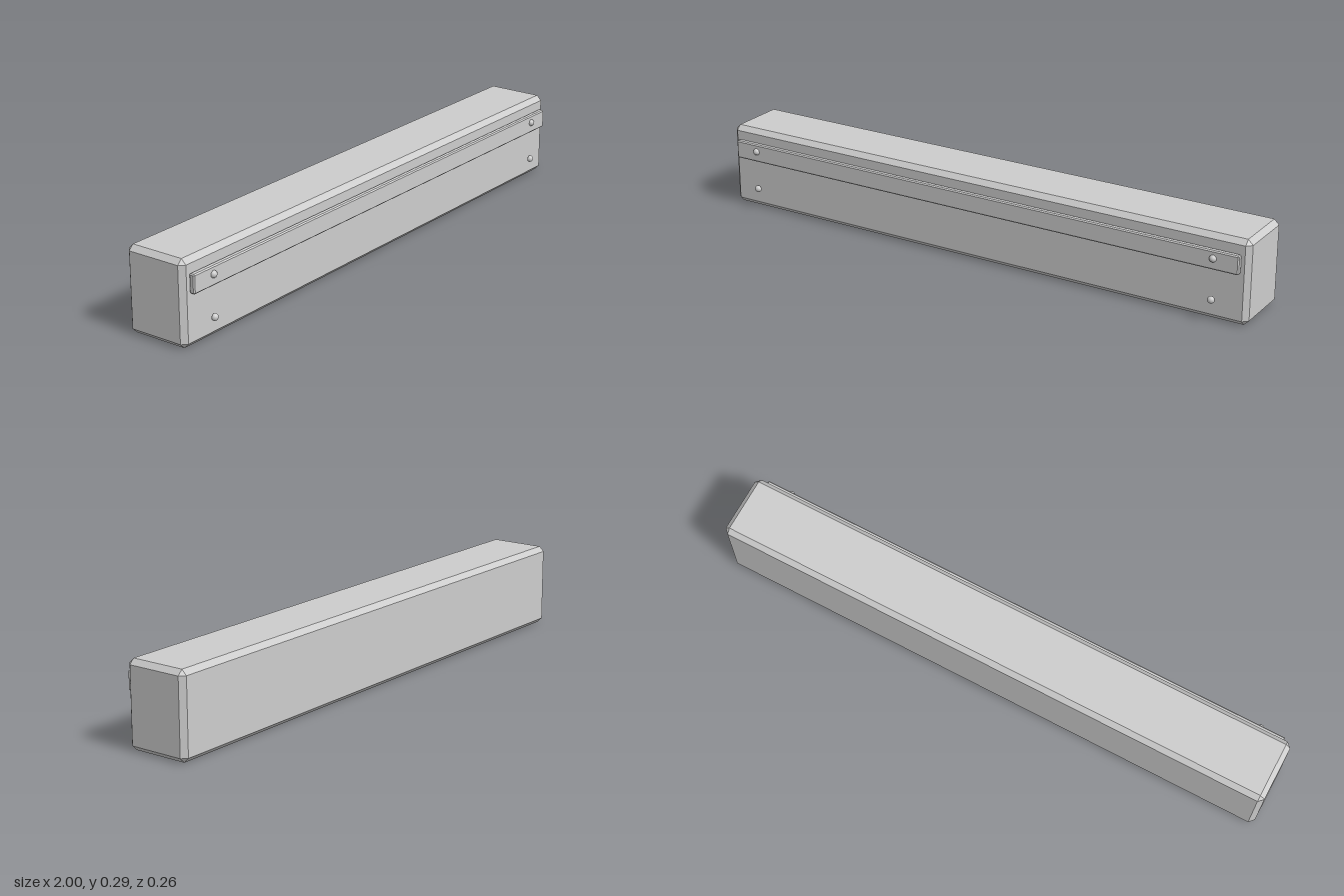
import * as THREE from 'three';
import { ConvexGeometry } from 'three/addons/geometries/ConvexGeometry.js';

// Box with every edge cut at 45 degrees by c, centred on the origin
function chamferedBox(w, h, d, c) {
  const points = [];
  for (const sx of [-1, 1]) for (const sy of [-1, 1]) for (const sz of [-1, 1]) {
    for (let axis = 0; axis < 3; axis++) {
      const inset = [c, c, c];
      inset[axis] = 0;
      points.push(new THREE.Vector3(
        sx * (w / 2 - inset[0]), sy * (h / 2 - inset[1]), sz * (d / 2 - inset[2])));
    }
  }
  return new ConvexGeometry(points);
}

// Round screw head, flat at z = 0 and domed towards +z
function screwHead(radius, height) {
  const profile = [new THREE.Vector2(0, 0), new THREE.Vector2(radius * 0.98, 0)];
  const steps = 8;
  for (let i = 0; i <= steps; i++) {
    const a = (i / steps) * Math.PI / 2;
    profile.push(new THREE.Vector2(
      i === steps ? 0 : radius * Math.cos(a), 0.002 + (height - 0.002) * Math.sin(a)));
  }
  return new THREE.LatheGeometry(profile, 20).rotateX(Math.PI / 2);
}

export function createModel() {
  const group = new THREE.Group();
  const lightGrey = new THREE.MeshStandardMaterial({ color: 0xcccccc });
  lightGrey.name = 'light grey';

  const add = (name, geometry, x, y, z) => {
    const mesh = new THREE.Mesh(geometry, lightGrey);
    mesh.name = name;
    mesh.position.set(x, y, z);
    group.add(mesh);
  };

  // Main beam
  add('beam', chamferedBox(2, 0.288, 0.226, 0.017), 0, 0.144, -0.015);

  // Long strip along the upper front
  add('frontStrip', chamferedBox(1.944, 0.064, 0.02, 0.004), 0, 0.209, 0.108);

  // Screw heads: two on the strip, two below
  const screw = screwHead(0.0122, 0.0145);
  for (const x of [-0.885, 0.885]) {
    add('upperScrew', screw, x, 0.215, 0.115);
    add('lowerScrew', screw, x, 0.076, 0.115);
  }
  return group;
}
